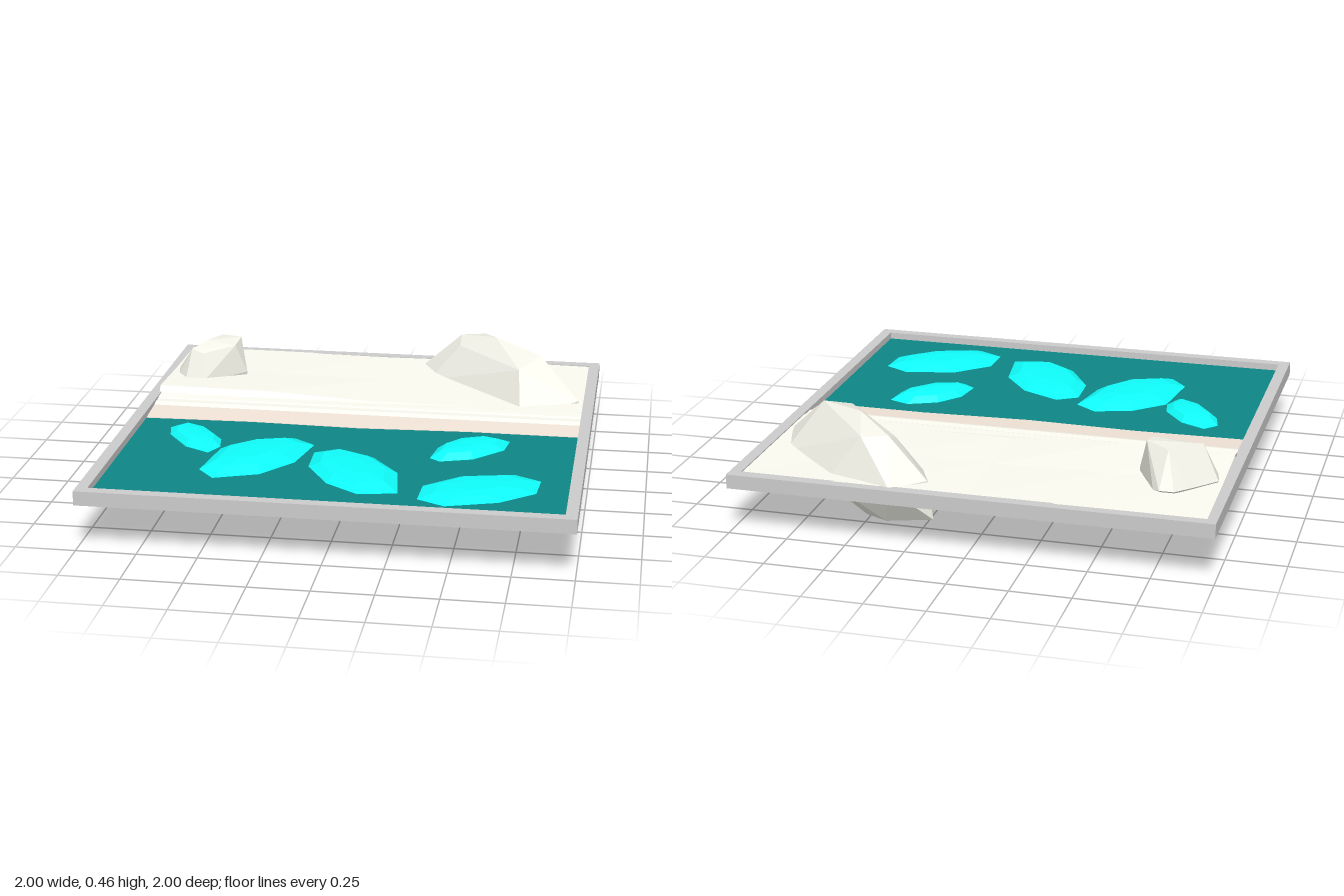
import * as THREE from 'three';
import { ConvexGeometry } from 'three/addons/geometries/ConvexGeometry.js';

const material = (color, side = THREE.FrontSide) =>
  new THREE.MeshStandardMaterial({ color, flatShading: true, side });
const GREY = 0xcccccc, SAND = 0xfafaf0, BEIGE = 0xf0e2d6, WATER = 0x0f8585, STONE = 0x10fcfa, ROCK = 0xf2f2e8;

function add(group, name, geometry, color, side) {
  const mesh = new THREE.Mesh(geometry, material(color, side));
  mesh.name = name;
  group.add(mesh);
  return mesh;
}

const hull = points => new ConvexGeometry(points.map(p => new THREE.Vector3(...p)));

// Faceted pebble: an outline at mid height, narrowed at the top and bottom
function pebble(outline, top, mid, bottom) {
  const cx = outline.reduce((s, p) => s + p[0], 0) / outline.length;
  const cz = outline.reduce((s, p) => s + p[1], 0) / outline.length;
  const ring = (k, y) => outline.map(([x, z]) => [cx + (x - cx) * k, y, cz + (z - cz) * k]);
  return hull([...ring(1, mid), ...ring(0.72, top - 0.006), ...ring(0.35, top),
    ...ring(0.72, (mid + bottom) / 2 - 0.01), ...ring(0.35, bottom)]);
}

// Sheet from rows of [x, y, z] running left to right, listed back to front
function sheet(rows) {
  const n = rows[0].length, index = [];
  for (let r = 0; r < rows.length - 1; r++) {
    for (let i = 0; i < n - 1; i++) {
      const a = r * n + i, b = a + n;
      index.push(a, b, a + 1, a + 1, b, b + 1);
    }
  }
  const g = new THREE.BufferGeometry();
  g.setAttribute('position', new THREE.Float32BufferAttribute(rows.flat(2), 3));
  g.setIndex(index);
  g.computeVertexNormals();
  return g;
}

export function createModel() {
  const model = new THREE.Group();

  // Square tray with a raised rim
  const rim = new THREE.Shape([[-1, -1], [1, -1], [1, 1], [-1, 1]].map(p => new THREE.Vector2(...p)));
  const e = 0.952;
  rim.holes.push(new THREE.Path([[-e, -e], [-e, e], [e, e], [e, -e]].map(p => new THREE.Vector2(...p))));
  const rimGeometry = new THREE.ExtrudeGeometry(rim, { depth: 0.06, bevelEnabled: false });
  rimGeometry.rotateX(-Math.PI / 2).translate(0, 0.195, 0);
  add(model, 'trayRim', rimGeometry, GREY);
  add(model, 'trayBase', new THREE.BoxGeometry(2 * e, 0.015, 2 * e).translate(0, 0.2025, 0), GREY);

  // Water surface
  add(model, 'water', new THREE.BoxGeometry(2 * e, 0.015, e + 0.05).translate(0, 0.2175, (e - 0.05) / 2), WATER);

  // Sand with a low ledge fading out to the right
  const xs = [-0.96, -0.48, 0, 0.48, 0.96];
  const ledge = [0.28, 0.276, 0.252, 0.25, 0.25];
  const row = (z, heights) => xs.map((x, i) => [x, Array.isArray(heights) ? heights[i] : heights, z]);
  add(model, 'sand', sheet([
    row(-0.96, [0.257, 0.256, 0.252, 0.256, 0.25]),
    row(-0.6, [0.265, 0.262, 0.252, 0.252, 0.25]),
    row(-0.292, ledge),
    row(-0.27, [0.252, 0.25, 0.249, 0.25, 0.25]),
    row(-0.225, 0.249),
    row(-0.21, 0.244),
    row(-0.17, 0.246),
    row(-0.14, 0.238),
  ]), SAND, THREE.DoubleSide);

  // Wet shore with a slightly wavy edge
  const shore = [0.005, -0.01, 0.003, -0.022, -0.02];
  add(model, 'shore', sheet([
    row(-0.14, 0.238),
    xs.map((x, i) => [x, 0.227, shore[i]]),
    xs.map((x, i) => [x, 0.2, shore[i]]),
  ]), BEIGE, THREE.DoubleSide);

  // Large boulder passing through the tray
  add(model, 'largeRock', hull([
    [0.36, 0.42, -0.83], [0.53, 0.46, -0.68], [0.75, 0.43, -0.52], [0.36, 0.39, -0.75], [0.66, 0.39, -0.42],
    [0.47, 0.42, -0.86], [0.19, 0.26, -0.87], [0.32, 0.25, -0.97], [0.62, 0.22, -0.88], [0.93, 0.26, -0.41],
    [0.93, 0.19, -0.42], [0.9, 0.22, -0.6], [0.68, 0.19, -0.28], [0.68, 0.13, -0.28], [0.22, 0.22, -0.74],
    [0.17, 0.09, -0.86], [0.38, 0.05, -0.83], [0.52, 0, -0.67], [0.64, 0.02, -0.43], [0.75, 0.05, -0.47],
  ]), ROCK);

  // Small boulder
  add(model, 'smallRock', hull([
    [-0.86, 0.39, -0.51], [-0.8, 0.415, -0.58], [-0.75, 0.415, -0.68], [-0.65, 0.425, -0.62], [-0.66, 0.41, -0.53],
    [-0.8, 0.38, -0.48], [-0.94, 0.27, -0.6], [-0.93, 0.26, -0.52], [-0.88, 0.25, -0.44], [-0.8, 0.25, -0.44],
    [-0.61, 0.28, -0.55], [-0.7, 0.26, -0.73], [-0.79, 0.27, -0.76], [-0.73, 0.27, -0.76], [-0.84, 0.27, -0.71],
    [-0.62, 0.2, -0.57], [-0.89, 0.165, -0.55], [-0.78, 0.19, -0.66],
  ]), ROCK);

  // Stones lying in the water: outline, top, middle, bottom
  const stones = [
    [[[-0.81, 0.13], [-0.76, 0.075], [-0.65, 0.13], [-0.56, 0.25], [-0.545, 0.34], [-0.58, 0.42], [-0.69, 0.36], [-0.79, 0.22]], 0.26, 0.232, 0.186],
    [[[-0.54, 0.35], [-0.41, 0.23], [-0.25, 0.18], [-0.155, 0.25], [-0.2, 0.47], [-0.32, 0.63], [-0.5, 0.7], [-0.575, 0.61]], 0.26, 0.228, 0.14],
    [[[-0.14, 0.34], [-0.05, 0.285], [0.12, 0.37], [0.24, 0.53], [0.27, 0.76], [0.11, 0.79], [-0.03, 0.69], [-0.135, 0.51]], 0.26, 0.228, 0.14],
    [[[0.35, 0.34], [0.37, 0.21], [0.45, 0.11], [0.575, 0.055], [0.665, 0.09], [0.65, 0.2], [0.53, 0.33], [0.395, 0.375]], 0.26, 0.23, 0.17],
    [[[0.36, 0.66], [0.5, 0.53], [0.72, 0.48], [0.83, 0.54], [0.82, 0.68], [0.68, 0.8], [0.47, 0.87], [0.355, 0.81]], 0.252, 0.228, 0.2],
  ];
  stones.forEach((s, i) => add(model, `waterStone${i + 1}`, pebble(...s), STONE));

  return model;
}
